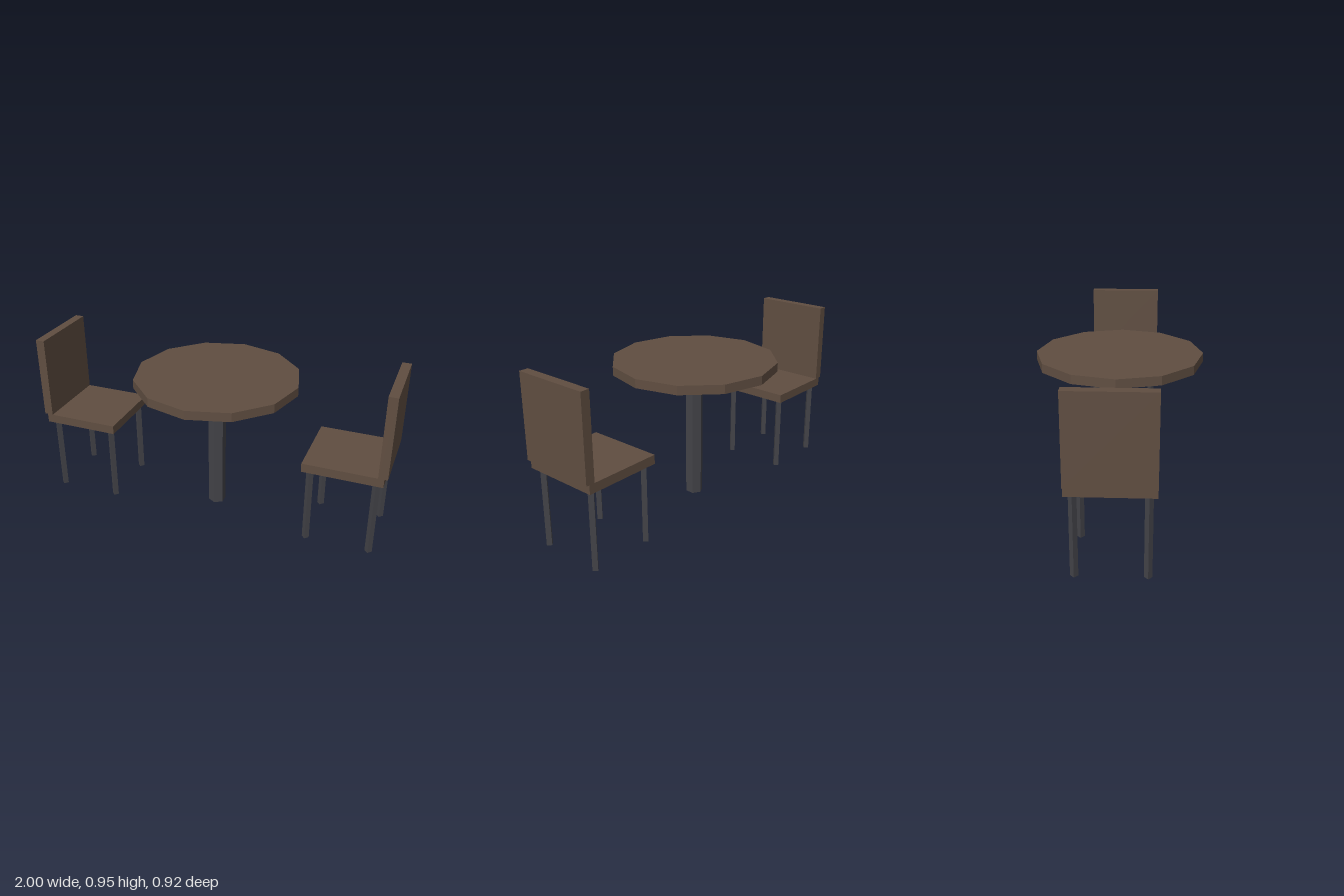
import * as THREE from 'three';

export function createModel() {
  const wood = new THREE.MeshStandardMaterial({ color: 0x604e41 });
  wood.name = 'brown wood';
  const metal = new THREE.MeshStandardMaterial({ color: 0x434348 });
  metal.name = 'dark metal';
  wood.flatShading = metal.flatShading = true;

  const add = (parent, name, geometry, material, x, y, z) => {
    const mesh = new THREE.Mesh(geometry, material);
    mesh.name = name;
    mesh.position.set(x, y, z);
    parent.add(mesh);
  };

  const model = new THREE.Group();
  model.name = 'diningSet';

  // Round table on a hexagonal post
  const table = new THREE.Group();
  table.name = 'table';
  add(table, 'tableTop', new THREE.CylinderGeometry(0.46, 0.46, 0.05, 12), wood, 0, 0.79, 0);
  add(table, 'tablePost', new THREE.CylinderGeometry(0.05, 0.05, 0.765, 6), metal, 0, 0.3825, 0);
  model.add(table);

  // Two chairs facing the table, backrests outward
  for (const side of [-1, 1]) {
    const chair = new THREE.Group();
    chair.name = side > 0 ? 'leftChair' : 'rightChair';
    add(chair, 'seat', new THREE.BoxGeometry(0.43, 0.05, 0.43), wood, side * 0.767, 0.465, 0);
    add(chair, 'backrest', new THREE.BoxGeometry(0.05, 0.46, 0.43), wood, side * 0.975, 0.72, 0);
    // Four slim square legs set cornerwise
    for (const dx of [-0.175, 0.175]) {
      for (const z of [-0.175, 0.175]) {
        add(chair, 'leg', new THREE.CylinderGeometry(0.02, 0.02, 0.44, 4), metal, side * 0.767 + dx, 0.22, z);
      }
    }
    model.add(chair);
  }
  return model;
}
